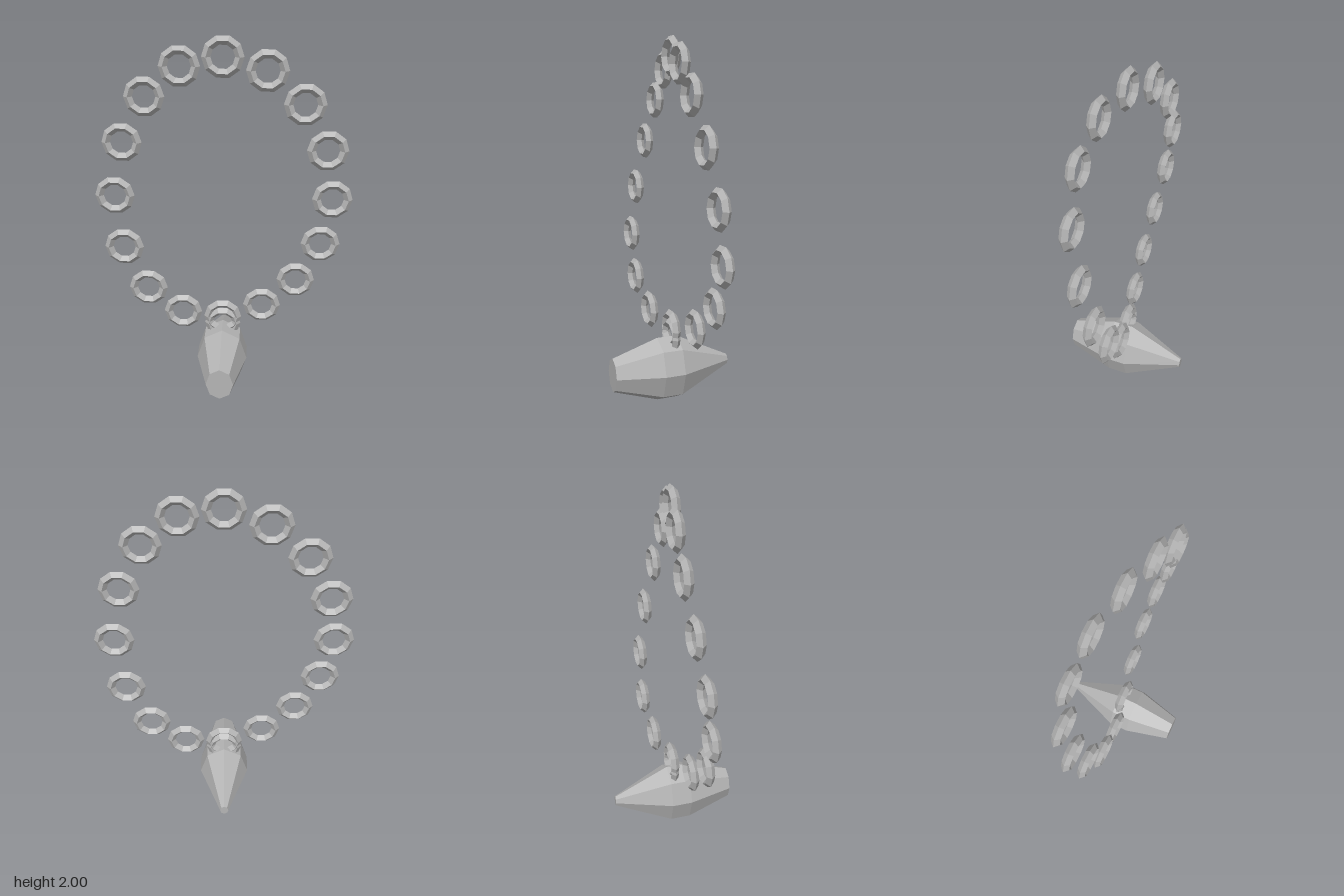
import * as THREE from 'three';

export function createModel() {
  const group = new THREE.Group();
  const silver = new THREE.MeshStandardMaterial({ color: 0xb4b4b4, flatShading: true });
  silver.name = 'silverGrey';

  const add = (name, geometry, x, y, z) => {
    const mesh = new THREE.Mesh(geometry, silver);
    mesh.name = name;
    mesh.position.set(x, y, z);
    group.add(mesh);
  };

  // Chain: ten-sided bevelled links on an oval that weaves front to back
  const link = new THREE.TorusGeometry(0.0845, 0.0235, 4, 10);
  const count = 16;
  for (let i = 0; i < count; i++) {
    const a = (i / count) * Math.PI * 2;
    add('chainLink' + (i + 1), link,
      0.585 * Math.cos(a), 1.154 + 0.744 * Math.sin(a), 0.065 * Math.sin(2 * a));
  }

  // Bail: ring sunk into the top of the pendant
  add('bail', new THREE.TorusGeometry(0.08, 0.0235, 4, 10), 0, 0.365, 0);

  // Pendant: eight-sided faceted crystal lying along z, narrow at the back
  const profile = [
    [0, -0.345], [0.03, -0.345], [0.181, -0.03], [0.181, 0.085], [0.096, 0.345], [0, 0.345],
  ].map(([r, z]) => new THREE.Vector2(r, z));
  const crystal = new THREE.LatheGeometry(profile, 8);
  crystal.rotateX(Math.PI / 2);
  crystal.scale(0.79, 1, 1);
  add('pendantCrystal', crystal, 0, 0.183, 0);

  return group;
}
